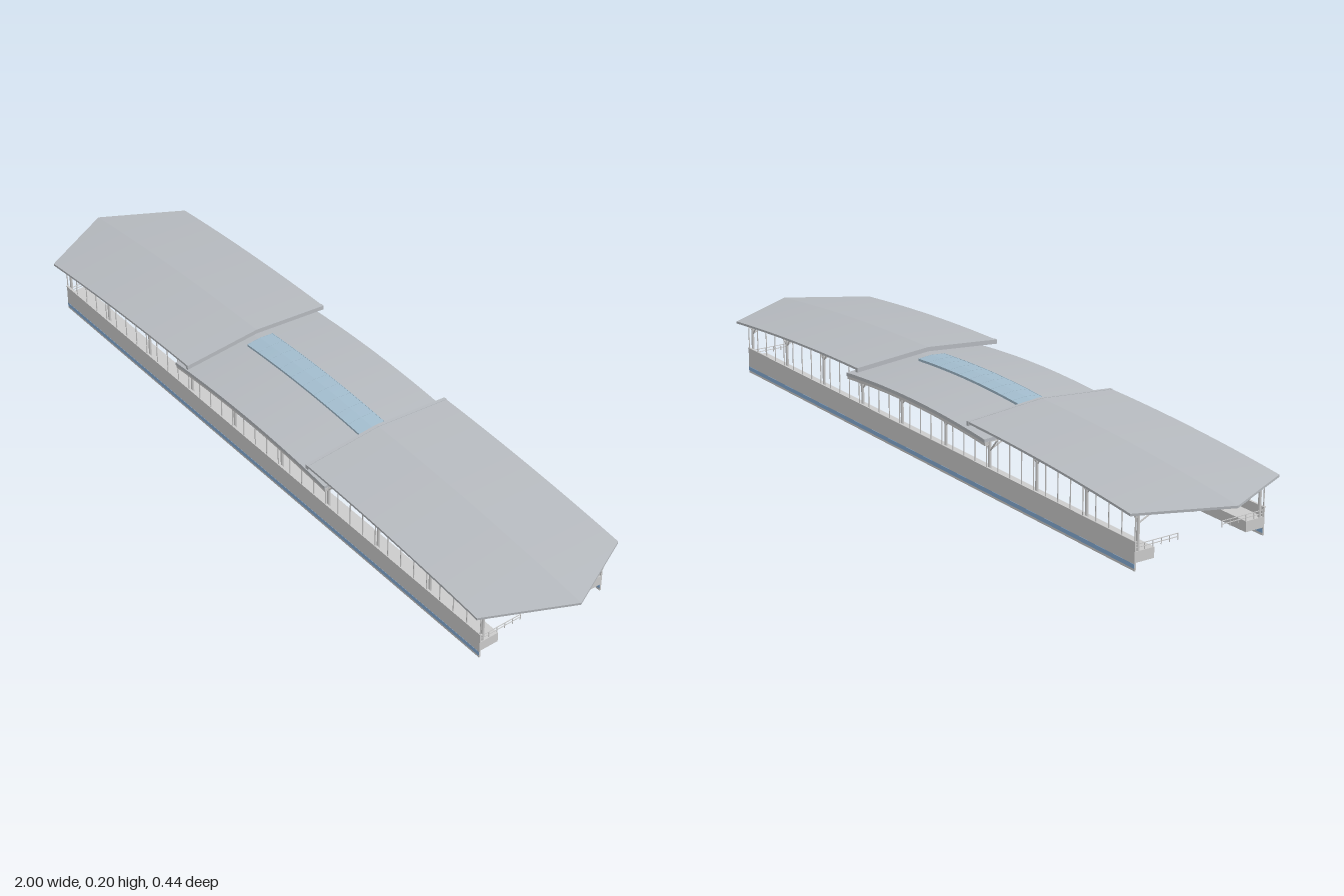
import * as THREE from 'three';
import { mergeGeometries, toCreasedNormals } from 'three/addons/utils/BufferGeometryUtils.js';

const grey = new THREE.MeshStandardMaterial({ color: 0xcccccc });
const roofGrey = new THREE.MeshStandardMaterial({ color: 0xb6babf });
const glass = new THREE.MeshStandardMaterial({ color: 0xa2bccd });
const blue = new THREE.MeshStandardMaterial({ color: 0x86add6 });

const V = (x, y, z) => new THREE.Vector3(x, y, z);

// Arched ridge lines of the outer and the centre roofs
const outerRidge = x => {
  const t = (Math.abs(x) - 0.25) / 0.75;
  return 0.201 - 0.005 * t - 0.04 * t * t;
};
const centreRidge = x => 0.186 - 0.15 * x * x;
const outer = { ridge: outerRidge, half: 0.218, drop: 0.018, thick: 0.006 };
const centre = { ridge: centreRidge, half: 0.212, drop: 0.018, thick: 0.009 };
const roofAt = x => (Math.abs(x) < 0.315 ? centre : outer);
const underside = (roof, x, z) => roof.ridge(x) - roof.drop * Math.abs(z) / roof.half - roof.thick;
// Half width, tapering to a point beyond the end columns
const halfAt = (roof, x) => roof === outer && Math.abs(x) > 0.89
  ? roof.half * Math.max(0, (1 - Math.abs(x)) / 0.11) : roof.half;

function mesh(name, geometry, material = grey) {
  const m = new THREE.Mesh(geometry, material);
  m.name = name;
  return m;
}

function box(x0, x1, y0, y1, z0, z1) {
  return new THREE.BoxGeometry(x1 - x0, y1 - y0, Math.abs(z1 - z0))
    .translate((x0 + x1) / 2, (y0 + y1) / 2, (z0 + z1) / 2);
}

// Square bar between two points
function bar(a, b, w = 0.002, h = w) {
  const g = new THREE.BoxGeometry(w, h, a.distanceTo(b));
  const m = new THREE.Matrix4().lookAt(b, a, Math.abs(b.x - a.x) + Math.abs(b.z - a.z) < 1e-6 ? V(1, 0, 0) : V(0, 1, 0));
  return g.applyMatrix4(m.setPosition(a.clone().add(b).multiplyScalar(0.5)));
}

// Closed skin over a row of six-point rings, ordered along +x
function loft(rings) {
  const n = 6, pos = rings.flat().flatMap(p => [p.x, p.y, p.z]), index = [];
  for (let i = 0; i < rings.length - 1; i++) {
    for (let j = 0; j < n; j++) {
      const a = i * n + j, b = i * n + (j + 1) % n;
      index.push(a, a + n, b, b, a + n, b + n);
    }
  }
  const last = (rings.length - 1) * n;
  for (const [p, q, r] of [[0, 1, 4], [0, 4, 5], [1, 2, 3], [1, 3, 4]]) {
    index.push(p, q, r, last + p, last + r, last + q);
  }
  const g = new THREE.BufferGeometry();
  g.setAttribute('position', new THREE.Float32BufferAttribute(pos, 3));
  g.setIndex(index);
  return toCreasedNormals(g, 0.12);
}

// Gabled cross-section at x, from the front eave over the ridge to the back eave
function section(roof, x, half, lift = 0, thick = roof.thick) {
  const top = roof.ridge(x) + lift, eave = top - roof.drop * half / roof.half;
  return [V(x, eave, half), V(x, top, 0), V(x, eave, -half),
    V(x, eave - thick, -half), V(x, top - thick, 0), V(x, eave - thick, half)];
}

function steps(a, b, n) {
  return Array.from({ length: n + 1 }, (_, i) => a + (b - a) * i / n);
}

function roofSlab(roof, xs) {
  return loft(xs.map(x => section(roof, x, halfAt(roof, x))));
}

// Purlins along the roof and rafters across it, just under the skin
function roofFrame(roof, x0, x1, purlins, reach) {
  const parts = [], xs = steps(x0, x1, 12);
  for (const z of purlins) {
    for (const s of z ? [1, -1] : [1]) {
      for (let i = 0; i < xs.length - 1; i++) {
        const [a, b] = [xs[i], xs[i + 1]];
        if (halfAt(roof, a) < z || halfAt(roof, b) < z) continue;
        parts.push(bar(V(a, underside(roof, a, z) - 0.002, z * s),
          V(b, underside(roof, b, z) - 0.002, z * s), 0.003, 0.004));
      }
    }
  }
  for (const x of xs) {
    const w = Math.min(reach, halfAt(roof, x) - 0.008);
    for (const s of [1, -1]) {
      parts.push(bar(V(x, underside(roof, x, 0) - 0.0015, 0), V(x, underside(roof, x, w) - 0.0015, w * s), 0.003));
    }
  }
  return mergeGeometries(parts);
}

// Pair of columns with braces and the arched truss that spans them
function portal(x) {
  const roof = roofAt(x), e = underside(roof, x, 0.2), chord = e - 0.0125;
  const rise = underside(roof, x, 0) - 0.007 - chord - 0.003;
  const arch = z => chord + 0.003 + rise * (1 - (z / 0.19) ** 2);
  const parts = [bar(V(x, chord, -0.19), V(x, chord, 0.19), 0.003)];
  const zs = steps(-0.19, 0.19, 12);
  for (let i = 0; i < 12; i++) {
    const [a, b] = [zs[i], zs[i + 1]];
    parts.push(bar(V(x, arch(a), a), V(x, arch(b), b), 0.003));
    parts.push(i % 2 ? bar(V(x, arch(a), a), V(x, chord, b)) : bar(V(x, chord, a), V(x, arch(b), b)));
  }
  for (const s of [1, -1]) {
    parts.push(new THREE.CylinderGeometry(0.004, 0.004, e - 0.047, 8).translate(x, (e + 0.047) / 2, 0.179 * s));
    parts.push(bar(V(x, e - 0.035, 0.179 * s), V(x, chord, 0.13 * s), 0.003));
    parts.push(bar(V(x, e - 0.022, 0.179 * s), V(x, e - 0.002, 0.207 * s), 0.003));
    for (const d of [-0.03, 0.03]) {
      if (Math.abs(x + d) > 0.895) continue;
      parts.push(bar(V(x, e - 0.038, 0.179 * s), V(x + d, underside(roof, x + d, 0.18) - 0.002, 0.179 * s), 0.003));
    }
  }
  return mergeGeometries(parts);
}

export function createModel() {
  const model = new THREE.Group();
  model.name = 'elevatedStation';

  // Roofs and the framing below them
  for (const s of [1, -1]) {
    const xs = s > 0 ? [...steps(0.25, 0.89, 24), 0.93, 0.97, 1] : [-1, -0.97, -0.93, ...steps(-0.89, -0.25, 24)];
    const side = s > 0 ? 'left' : 'right';
    model.add(mesh(side + 'Roof', roofSlab(outer, xs), roofGrey));
    model.add(mesh(side + 'RoofFrame', roofFrame(outer, 0.265 * s, 0.95 * s, [0, 0.05, 0.1, 0.15, 0.2], 0.21)));
    // Turned-down lip at the raised inner end
    const lip = [0.249, 0.258].map(x => section(outer, x * s, 0.219, 0.001, 0.012));
    model.add(mesh(side + 'RoofLip', loft(s > 0 ? lip : lip.reverse()), roofGrey));
  }
  model.add(mesh('centreRoof', roofSlab(centre, steps(-0.315, 0.315, 24)), roofGrey));
  model.add(mesh('centreRoofFrame', roofFrame(centre, -0.31, 0.31, [0, 0.05, 0.1, 0.15], 0.18)));

  // Raised skylight with glazing bars
  const skyXs = steps(-0.235, 0.235, 20);
  model.add(mesh('skylight', loft(skyXs.map(x => section(centre, x, 0.04, 0.006, 0.008))), glass));
  const bars = [];
  skyXs.forEach((x, i) => {
    const y = (px, z) => centreRidge(px) + 0.006 - centre.drop * z / centre.half;
    for (const s of [1, -1]) {
      if (i % 2 === 0) bars.push(bar(V(x, y(x, 0), 0), V(x, y(x, 0.04), 0.04 * s), 0.001));
      if (i) {
        const p = skyXs[i - 1];
        bars.push(bar(V(p, y(p, 0.04), 0.04 * s), V(x, y(x, 0.04), 0.04 * s), 0.0015));
      }
    }
  });
  model.add(mesh('skylightBars', mergeGeometries(bars), glass));

  // Columns and trusses
  for (const x of [0.1, 0.29, 0.485, 0.68, 0.87]) {
    for (const s of [1, -1]) model.add(mesh('columnsAndTruss', portal(x * s)));
  }

  for (const s of [1, -1]) {
    const side = s > 0 ? 'front' : 'back';
    model.add(mesh(side + 'Platform', box(-0.875, 0.875, 0.02, 0.047, 0.135 * s, 0.188 * s)));
    model.add(mesh(side + 'Wall', box(-0.875, 0.875, 0, 0.07, 0.187 * s, 0.191 * s)));
    model.add(mesh(side + 'BlueBand', box(-0.8745, 0.8745, 0.006, 0.017, 0.1865 * s, 0.1915 * s), blue));
    model.add(mesh(side + 'WallCap', box(-0.877, 0.877, 0.07, 0.072, 0.186 * s, 0.192 * s)));

    // Slim posts from the wall up to the eave
    const posts = steps(-0.873, 0.873, 36).map(x =>
      bar(V(x, 0.07, 0.189 * s), V(x, underside(roofAt(x), x, 0.189), 0.189 * s), 0.0022));
    model.add(mesh(side + 'Posts', mergeGeometries(posts)));

    // Gutter beam hanging below the centre eave
    const gutter = [], xs = steps(-0.315, 0.315, 16);
    const p = x => V(x, underside(centre, x, 0.205) - 0.004, 0.205 * s);
    for (let i = 0; i < 16; i++) gutter.push(bar(p(xs[i]), p(xs[i + 1]), 0.01, 0.01));
    model.add(mesh(side + 'Gutter', mergeGeometries(gutter)));

    // Railings at both platform ends
    for (const x of [-0.872, 0.872]) {
      const rail = [0.055, 0.063].map(y => bar(V(x, y, 0.064 * s), V(x, y, 0.187 * s), 0.0016));
      for (const z of steps(0.065, 0.185, 5)) rail.push(bar(V(x, 0.047, z * s), V(x, 0.063, z * s), 0.0016));
      model.add(mesh(side + 'EndRailing', mergeGeometries(rail)));
    }
  }
  return model;
}
